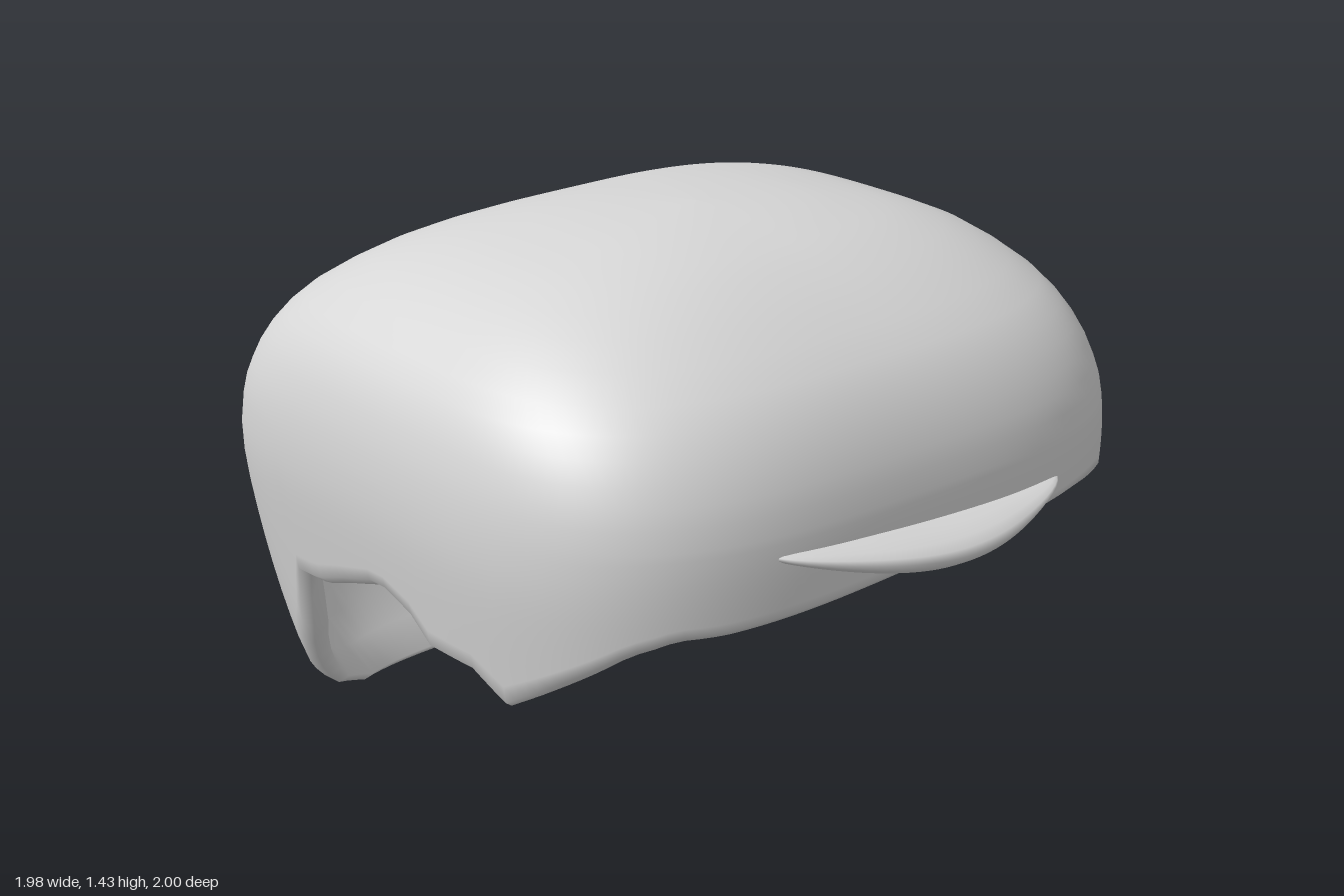
import * as THREE from 'three';

// Shell levels from crown to hem: height, half width, front depth, back depth
const LEVELS = [
  [1.435, 0, 0, 0], [1.43, 0.14, 0.1, 0.17], [1.415, 0.32, 0.22, 0.31], [1.39, 0.47, 0.33, 0.42],
  [1.36, 0.6, 0.42, 0.51], [1.3, 0.75, 0.55, 0.64], [1.2, 0.88, 0.705, 0.79], [1.1, 0.945, 0.79, 0.88],
  [1.0, 0.975, 0.84, 0.935], [0.9, 0.988, 0.866, 0.973], [0.75, 0.985, 0.874, 0.998],
  [0.5, 0.95, 0.865, 0.975], [0.25, 0.91, 0.85, 0.905], [0.1, 0.875, 0.84, 0.83], [0, 0.85, 0.84, 0.76],
];
// Hem height by angle from the front, in degrees
const HEM = [
  [0, 0.7], [43, 0.7], [49, 0.66], [56, 0.57], [63, 0.48], [68, 0.42], [74, 0.48], [84, 0.48], [88, 0.545],
  [94, 0.583], [98, 0.58], [107, 0.53], [113, 0.49], [118, 0.48], [122, 0.29], [127, 0.14],
  [132, 0.04], [138, 0], [180, 0],
];
const COLS = 180;
const { lerp, clamp, smoothstep } = THREE.MathUtils;

function hemHeight(angle) {
  const deg = Math.abs(THREE.MathUtils.radToDeg(angle));
  let i = 0;
  while (i < HEM.length - 2 && HEM[i + 1][0] < deg) i++;
  const [p, q] = [HEM[i], HEM[i + 1]];
  // the front edge slants a little
  const slant = 0.05 * clamp(0.87 * Math.tan(angle), -0.65, 0.65) * smoothstep(Math.cos(angle), 0.3, 0.75);
  return lerp(p[1], q[1], (deg - p[0]) / (q[0] - p[0])) + slant;
}

// Smooth level at a fractional index
function levelAt(k) {
  const i = Math.min(Math.floor(k), LEVELS.length - 2), t = k - i;
  const row = (n) => LEVELS[clamp(n, 0, LEVELS.length - 1)];
  return row(i).map((p1, c) => {
    const p0 = row(i - 1)[c], p2 = row(i + 1)[c], p3 = row(i + 2)[c];
    return p1 + 0.5 * t * (p2 - p0 + t * (2 * p0 - 5 * p1 + 4 * p2 - p3 + t * (3 * (p1 - p2) + p3 - p0)));
  });
}

// Fractional level index at a height, by bisection
function indexAt(y) {
  let lo = 0, hi = LEVELS.length - 1;
  for (let i = 0; i < 24; i++) {
    const mid = (lo + hi) / 2;
    if (levelAt(mid)[0] > y) lo = mid;
    else hi = mid;
  }
  return hi;
}

// Point on the rounded-square outline of a level
function shellPoint(angle, k) {
  const [y, a, front, back] = levelAt(k);
  const s = Math.sin(angle), c = Math.cos(angle);
  if (a < 1e-4) return [0, y, 0];
  // the crown is fuller towards the right side than the left
  const crown = lerp(2.8, 2, smoothstep(s, -0.7, 0.7));
  const wall = lerp(5, 3.4, smoothstep(c, -0.5, 0.5));
  const n = lerp(crown, wall, smoothstep(k, 0, 9));
  const depth = c > 0 ? front : back;
  const r = (Math.abs(s / a) ** n + Math.abs(c / depth) ** n) ** (-1 / n);
  return [r * s, y, r * c];
}

// Joins rings of points into a smooth surface, closed around each ring
function loft(rings) {
  const n = rings[0].length, index = [];
  for (let i = 0; i < rings.length - 1; i++) {
    for (let j = 0; j < n; j++) {
      const a = i * n + j, b = i * n + (j + 1) % n;
      index.push(a, a + n, b + n, a, b + n, b);
    }
  }
  const geometry = new THREE.BufferGeometry();
  geometry.setAttribute('position', new THREE.Float32BufferAttribute(rings.flat(2), 3));
  geometry.setIndex(index);
  geometry.computeVertexNormals();
  return geometry;
}

// Thin hollow shell: outside down to the hem, round its edge, and back up inside
function shellGeometry() {
  const angles = Array.from({ length: COLS }, (_, j) => (j / COLS) * 2 * Math.PI - Math.PI);
  const outer = [];
  for (let k = 0; k <= 9; k += 0.5) outer.push(angles.map((t) => shellPoint(t, k)));
  for (let i = 1; i <= 10; i++) {
    outer.push(angles.map((t) => shellPoint(t, indexAt(lerp(0.9, hemHeight(t) + 0.02, i / 10)))));
  }
  // the wall thickens towards the hem
  const inset = ([x, y, z]) => {
    const scale = lerp(0.935, 0.975, smoothstep(y, 0.3, 0.85));
    return [x * scale, y - 0.022 * smoothstep(y, 0.8, 1.4), z * scale];
  };
  const edge = angles.map((t) => {
    const [x, y, z] = shellPoint(t, indexAt(hemHeight(t)));
    return [x * 0.975, y, z * 0.975];
  });
  const inner = outer.map((ring) => ring.map(inset)).reverse();
  return loft([...outer, edge, ...inner]);
}

// Crescent blade passing through the front edge
function bladeGeometry() {
  const edgeCurve = (heights) => new THREE.SplineCurve(
    heights.map((y, i) => new THREE.Vector2(lerp(-0.475, 0.485, i / 4), y)));
  const top = edgeCurve([0.857, 0.842, 0.825, 0.815, 0.81]);
  const bottom = edgeCurve([0.832, 0.75, 0.707, 0.725, 0.79]);
  const rings = [];
  for (let i = 0; i <= 32; i++) {
    const u = i / 32, w = 1 - (2 * u - 1) ** 2;
    const hi = top.getPoint(u), lo = bottom.getPoint(u);
    rings.push(Array.from({ length: 20 }, (_, j) => {
      const t = -(j / 20) * 2 * Math.PI, c = Math.cos(t);
      const depth = 0.045 + w * (c > 0 ? 0.15 : 0.13);
      return [hi.x, (hi.y + lo.y) / 2 + Math.sin(t) * (hi.y - lo.y) / 2, 0.805 + c * depth];
    }));
  }
  return loft(rings);
}

export function createModel() {
  const group = new THREE.Group();
  const grey = new THREE.MeshStandardMaterial({ color: 0xd6d6d6, side: THREE.DoubleSide });
  grey.name = 'grey';
  const add = (name, geometry) => {
    const mesh = new THREE.Mesh(geometry, grey);
    mesh.name = name;
    group.add(mesh);
  };
  add('shell', shellGeometry());
  add('frontBlade', bladeGeometry());
  return group;
}
